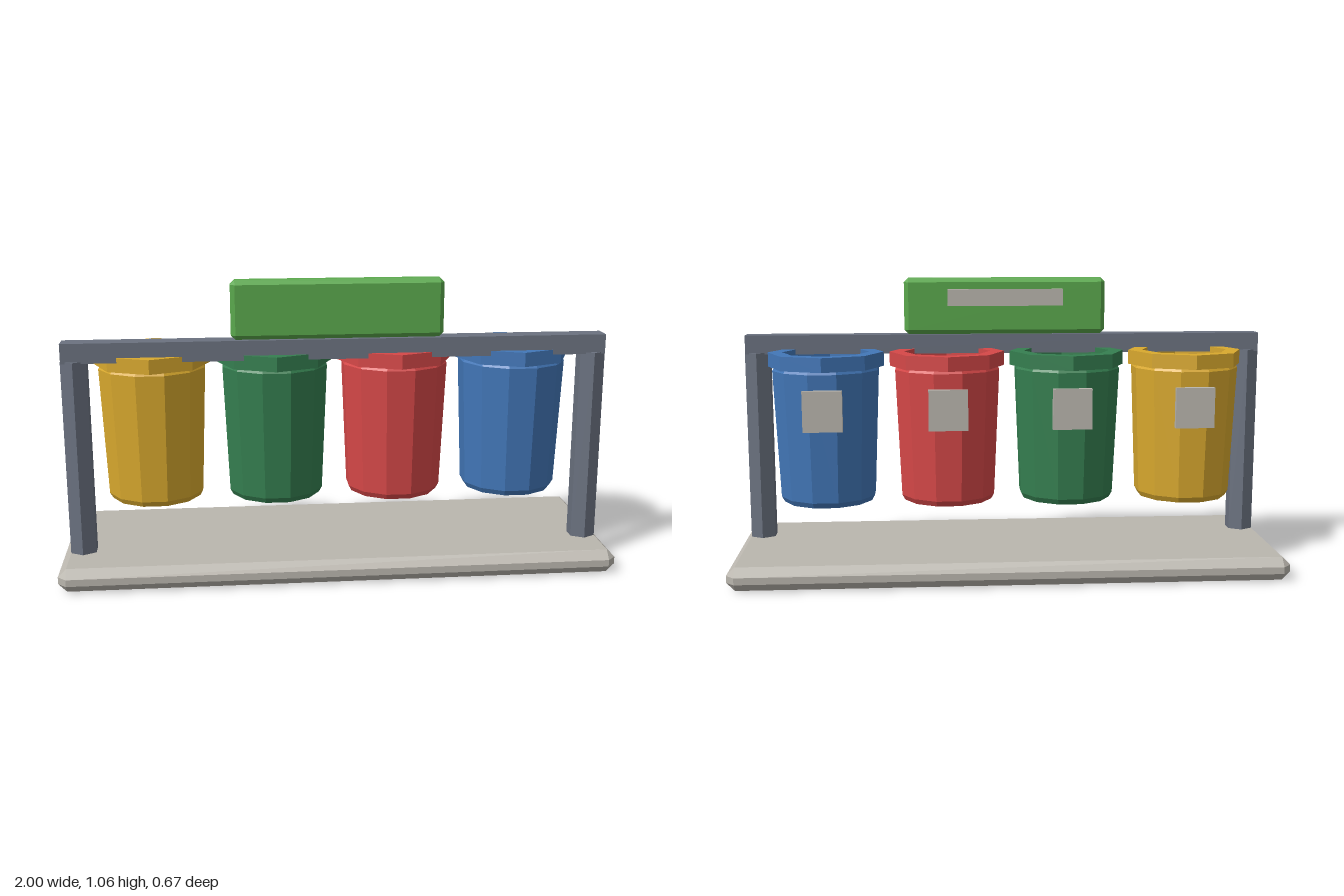
import * as THREE from 'three';
import { ConvexGeometry } from 'three/addons/geometries/ConvexGeometry.js';

const paint = (name, color) => {
  const m = new THREE.MeshStandardMaterial({ color });
  m.name = name;
  return m;
};

// Faceted look: every face keeps its own normal
function facet(geometry) {
  const g = geometry.index ? geometry.toNonIndexed() : geometry;
  g.computeVertexNormals();
  return g;
}

// Box with every edge cut off at 45 degrees
function chamferBox(w, h, d, c) {
  const points = [];
  for (const sx of [-1, 1]) for (const sy of [-1, 1]) for (const sz of [-1, 1]) {
    const x = w / 2, y = h / 2, z = d / 2;
    points.push(
      new THREE.Vector3(sx * x, sy * (y - c), sz * (z - c)),
      new THREE.Vector3(sx * (x - c), sy * y, sz * (z - c)),
      new THREE.Vector3(sx * (x - c), sy * (y - c), sz * z));
  }
  return new ConvexGeometry(points);
}

function lathe(profile, sides, start = 0) {
  const points = profile.map(([r, y]) => new THREE.Vector2(r, y));
  return facet(new THREE.LatheGeometry(points, sides, start));
}

function add(parent, name, geometry, material, x = 0, y = 0, z = 0) {
  const mesh = new THREE.Mesh(geometry, material);
  mesh.name = name;
  mesh.position.set(x, y, z);
  parent.add(mesh);
  return mesh;
}

export function createModel() {
  const model = new THREE.Group();
  model.name = 'recyclingStation';

  const stone = paint('stone', 0xbab6ae);
  const metal = paint('metal', 0x6b7280);
  const dark = paint('darkOpening', 0x3b424c);
  const signGreen = paint('signGreen', 0x5aa84c);
  const binPaints = [
    paint('yellow', 0xd9a92e), paint('green', 0x357f50),
    paint('red', 0xd64848), paint('blue', 0x4277b8),
  ];

  // Base slab
  add(model, 'base', chamferBox(2, 0.085, 0.67, 0.03), stone, 0, 0.0425, 0);

  // Frame: two six-sided posts and a beam
  const frameZ = 0.127;
  const post = facet(new THREE.CylinderGeometry(0.052, 0.052, 0.71, 6));
  for (const side of [-1, 1]) {
    add(model, side < 0 ? 'rightPost' : 'leftPost', post, metal, side * 0.925, 0.435, frameZ);
  }
  add(model, 'beam', new THREE.BoxGeometry(1.935, 0.071, 0.072), metal, 0, 0.8195, frameZ);

  // Sign board with a plate on its back
  add(model, 'signBoard', chamferBox(0.755, 0.21, 0.062, 0.016), signGreen, 0, 0.96, frameZ);
  add(model, 'signPlate', new THREE.BoxGeometry(0.43, 0.062, 0.015), stone, 0, 0.993, 0.078);

  // Bins: tapered body, eight-sided rim, dark opening, back label
  const body = lathe([[0, 0.255], [0.165, 0.255], [0.176, 0.275],
    [0.196, 0.74], [0.19, 0.75], [0, 0.75]], 12, Math.PI / 12);
  const rim = lathe([[0.158, 0.75], [0.21, 0.75], [0.21, 0.802],
    [0.158, 0.802], [0.158, 0.75]], 8);
  const opening = facet(new THREE.CylinderGeometry(0.158, 0.158, 0.006, 8));
  const label = new THREE.BoxGeometry(0.14, 0.146, 0.02);

  binPaints.forEach((material, i) => {
    const bin = new THREE.Group();
    bin.name = material.name + 'Bin';
    bin.position.x = -0.662 + i * 0.4413;
    add(bin, 'body', body, material);
    add(bin, 'rim', rim, material);
    add(bin, 'opening', opening, dark, 0, 0.752, 0);
    add(bin, 'label', label, stone, 0, 0.613, -0.2);
    model.add(bin);
  });

  return model;
}
